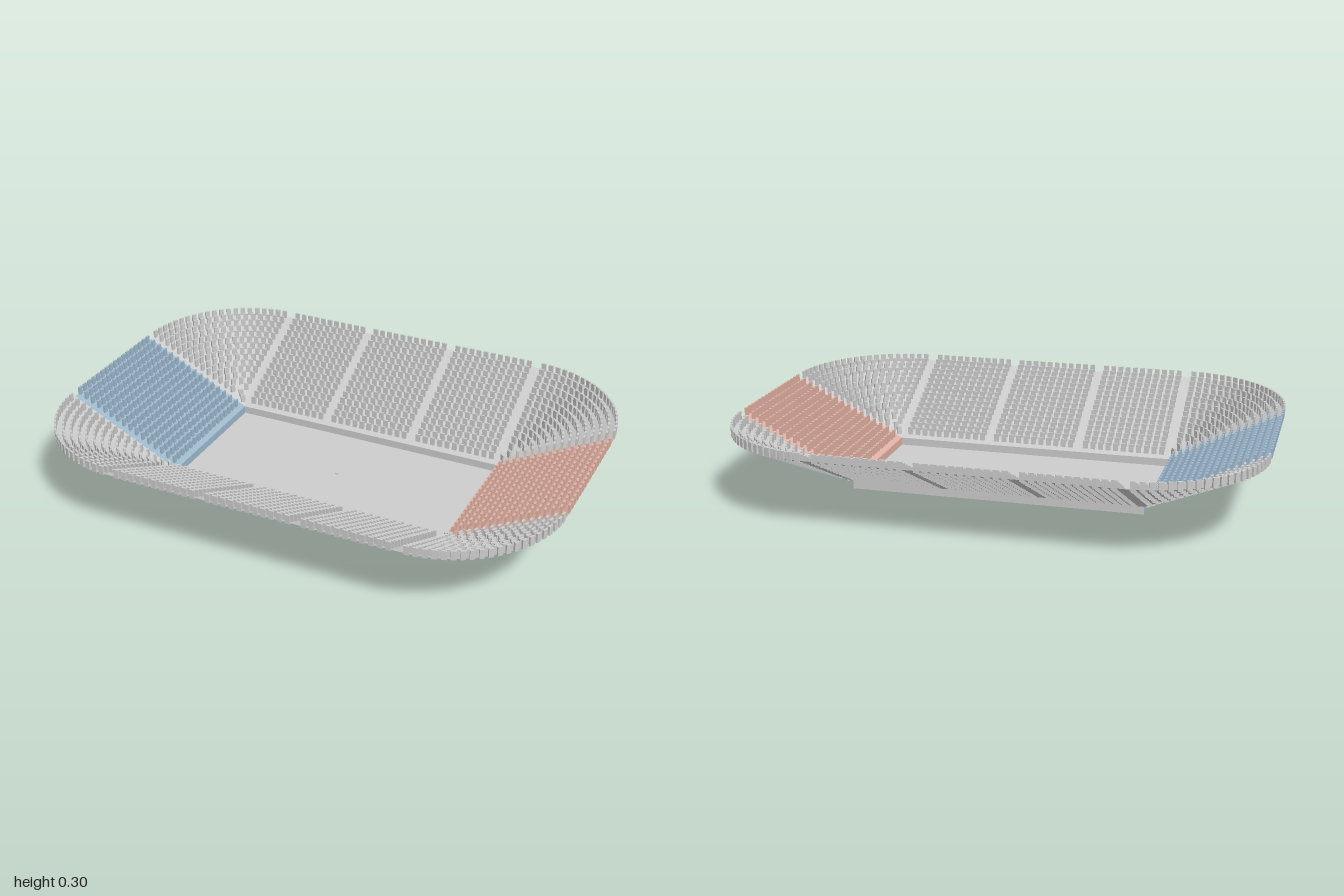
import * as THREE from 'three';
import { mergeGeometries } from 'three/addons/utils/BufferGeometryUtils.js';

// Overall dimensions of the bowl
const HALF_X = 0.556, HALF_Z = 0.28;
const FLOOR_Y = 0.02, WALL_TOP = 0.05, STAND_TOP = 0.27;
const RUN = 0.442, RISE = STAND_TOP - WALL_TOP;
const ROWS = 16, PITCH = 0.031;
const SEAT_W = 0.019, SEAT_H = 0.035, SEAT_D = 0.008;

const material = (color) => new THREE.MeshStandardMaterial({ color, side: THREE.DoubleSide });

function mesh(name, geometry, mat) {
  const m = new THREE.Mesh(geometry, mat);
  m.name = name;
  return m;
}

// Distance from the pitch edge, and height, of each row of seats
const rowOut = (i) => (RUN * (i + 1)) / ROWS - SEAT_D / 2;
const rowY = (d) => WALL_TOP + (RISE * d) / RUN + 0.03 - SEAT_H / 2;
const seat = () => new THREE.BoxGeometry(SEAT_W, SEAT_H, SEAT_D);

// Straight stand rising towards +z; blocks lists [centre, seats per row]
function straightStand(name, width, offset, blocks, mat) {
  const group = new THREE.Group();
  group.name = name;

  const wallH = WALL_TOP - FLOOR_Y;
  const wall = new THREE.PlaneGeometry(width, wallH).rotateY(Math.PI)
    .translate(0, FLOOR_Y + wallH / 2, offset);
  const slope = new THREE.PlaneGeometry(width, Math.hypot(RUN, RISE)).rotateY(Math.PI)
    .rotateX(Math.atan2(RUN, RISE))
    .translate(0, WALL_TOP + RISE / 2, offset + RUN / 2);

  const seats = [];
  for (let i = 0; i < ROWS; i++) {
    const d = rowOut(i);
    for (const [centre, count] of blocks) {
      for (let j = 0; j < count; j++) {
        const x = centre + (j - (count - 1) / 2) * PITCH;
        seats.push(seat().translate(x, rowY(d), offset + d));
      }
    }
  }
  group.add(mesh('pitchWall', wall, mat), mesh('terrace', slope, mat),
    mesh('seats', mergeGeometries(seats), mat));
  return group;
}

// Quarter-round stand filling one corner, starting at the given angle
function cornerStand(name, start, mat) {
  const group = new THREE.Group();
  group.name = name;
  const profile = [new THREE.Vector2(0, WALL_TOP), new THREE.Vector2(RUN, STAND_TOP)];
  const terrace = new THREE.LatheGeometry(profile, 20, start, Math.PI / 2);

  const seats = [];
  for (let i = 0; i < ROWS; i++) {
    const r = rowOut(i);
    // Keep a small aisle at both ends of every arc
    const margin = Math.min(0.032 / r, Math.PI / 4);
    const arc = Math.PI / 2 - 2 * margin;
    const count = Math.floor((arc * r) / PITCH) + 1;
    for (let j = 0; j < count; j++) {
      const t = count > 1 ? j / (count - 1) : 0.5;
      const angle = start + margin + arc * t;
      seats.push(seat().translate(0, rowY(r), r).rotateY(angle));
    }
  }
  group.add(mesh('terrace', terrace, mat), mesh('seats', mergeGeometries(seats), mat));
  return group;
}

export function createModel() {
  const model = new THREE.Group();
  model.name = 'stadium';
  const grey = material(0xcccccc);
  const red = material(0xe0b0a2);
  const blue = material(0x9db8cc);

  // Pitch and centre marker
  const pitch = new THREE.PlaneGeometry(2 * HALF_X, 2 * HALF_Z).rotateX(-Math.PI / 2)
    .translate(0, FLOOR_Y, 0);
  model.add(mesh('pitch', pitch, grey));
  model.add(mesh('centreMarker',
    new THREE.BoxGeometry(0.014, 0.024, 0.006).translate(0, 0.012, 0), grey));

  // Long stands with three blocks, end stands with one
  const longBlocks = [[-0.37, 11], [0, 11], [0.37, 11]];
  const endBlocks = [[0, 17]];
  const stands = [
    ['frontStand', 2 * HALF_X, HALF_Z, longBlocks, grey],
    ['leftStand', 2 * HALF_Z, HALF_X, endBlocks, red],
    ['backStand', 2 * HALF_X, HALF_Z, longBlocks, grey],
    ['rightStand', 2 * HALF_Z, HALF_X, endBlocks, blue],
  ];
  stands.forEach((args, k) => {
    const stand = straightStand(...args);
    stand.rotation.y = (k * Math.PI) / 2;
    model.add(stand);
  });

  // Corners, turning from front left round to front right
  const corners = [['frontLeftCorner', 1, 1], ['backLeftCorner', 1, -1],
    ['backRightCorner', -1, -1], ['frontRightCorner', -1, 1]];
  corners.forEach(([name, sx, sz], k) => {
    const corner = cornerStand(name, (k * Math.PI) / 2, grey);
    corner.position.set(sx * HALF_X, 0, sz * HALF_Z);
    model.add(corner);
  });
  return model;
}
